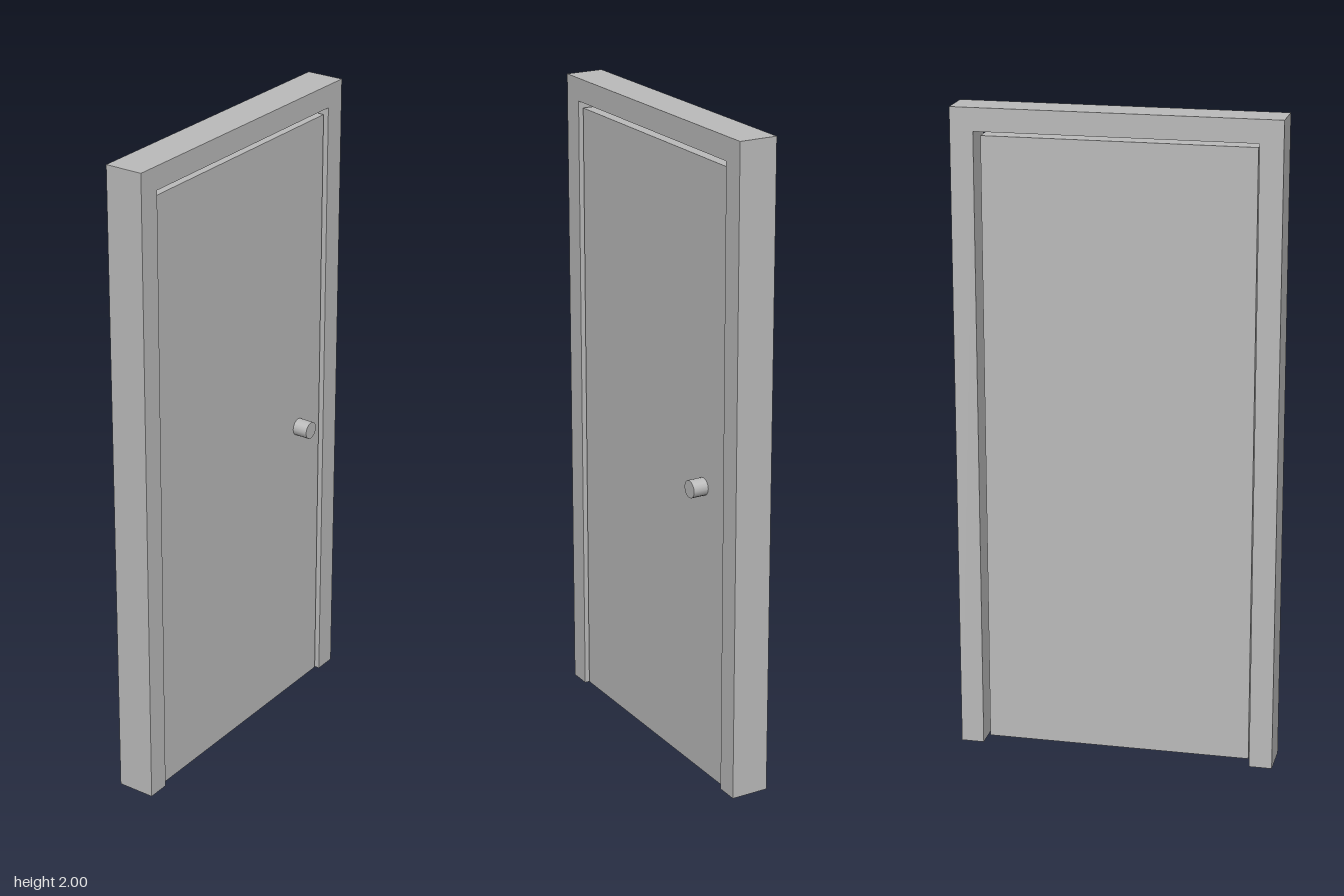
import * as THREE from 'three';

export function createModel() {
  const model = new THREE.Group();
  model.name = 'door';

  const grey = new THREE.MeshStandardMaterial({ color: 0xbbbbbb });
  grey.name = 'plain grey';

  const add = (name, geometry, x, y, z) => {
    const mesh = new THREE.Mesh(geometry, grey);
    mesh.name = name;
    mesh.position.set(x, y, z);
    model.add(mesh);
    return mesh;
  };

  // Frame: one U-shaped outline, open at the floor, extruded through the wall depth
  const outline = new THREE.Shape([
    [-0.49, 0], [-0.42, 0], [-0.42, 1.93], [0.42, 1.93],
    [0.42, 0], [0.49, 0], [0.49, 2], [-0.49, 2],
  ].map(([x, y]) => new THREE.Vector2(x, y)));
  add('frame', new THREE.ExtrudeGeometry(outline, { depth: 0.118, bevelEnabled: false }), 0, 0, -0.078);

  // Door leaf, set back from the frame with a narrow gap all round
  const bottom = 0.005, top = 1.91, front = 0.03, back = -0.034;
  add('doorLeaf', new THREE.BoxGeometry(0.82, top - bottom, front - back),
    0, (top + bottom) / 2, (front + back) / 2);

  // Round knob on the front face only
  const knobEnd = 0.078;
  const knob = new THREE.CylinderGeometry(0.027, 0.027, knobEnd - front, 16).rotateX(Math.PI / 2);
  add('knob', knob, 0.295, 0.93, (knobEnd + front) / 2);

  return model;
}
